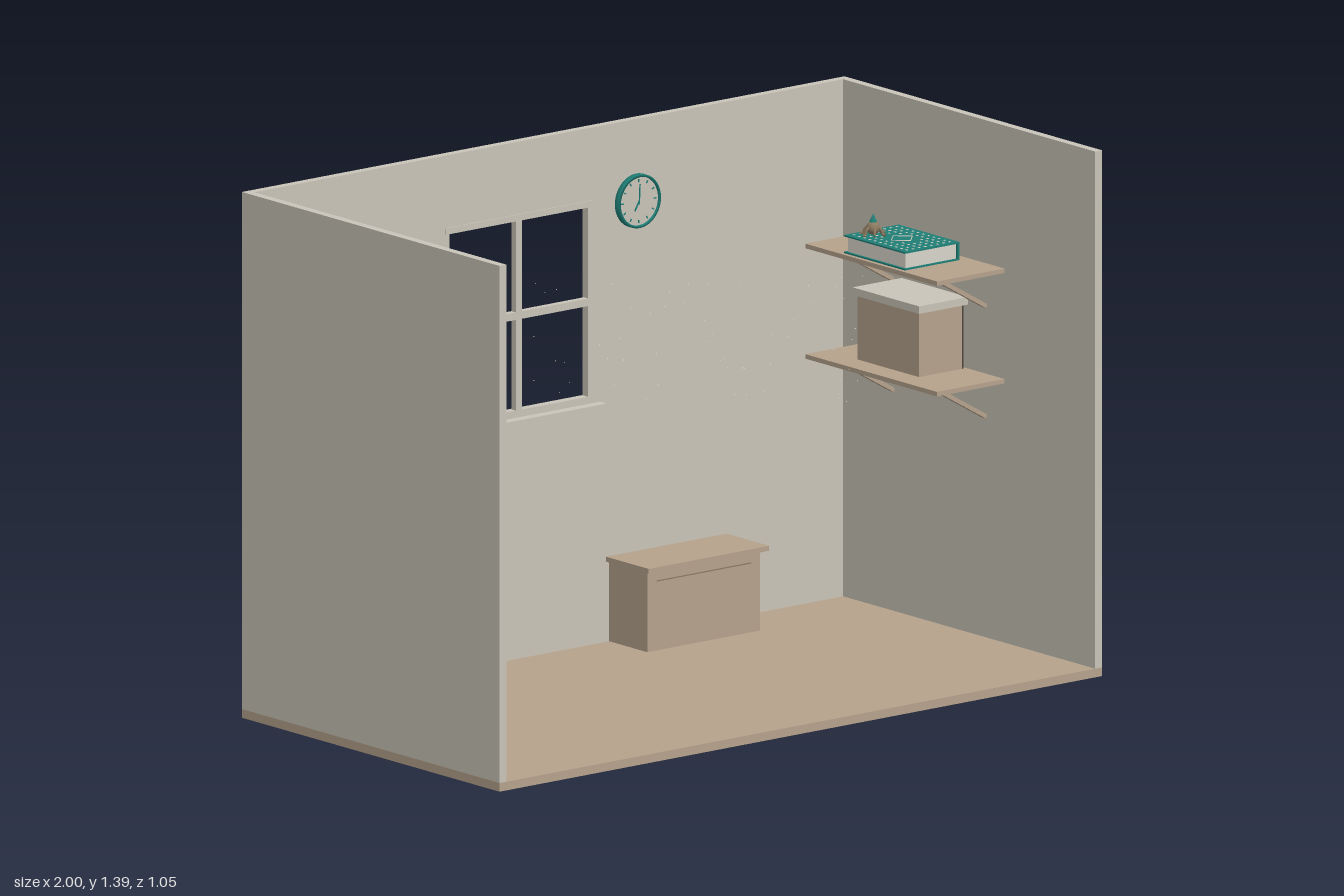
import * as THREE from 'three';

const mat = (name, color) => {
  const m = new THREE.MeshStandardMaterial({ color });
  m.name = name;
  return m;
};

export function createModel() {
  const room = new THREE.Group();
  room.name = 'room';
  const plaster = mat('plaster', 0xc9c4b8);
  const wood = mat('wood', 0xb5a28b);
  const teal = mat('teal', 0x1f7f76);
  const paper = mat('paper', 0xd8d5ca);
  const brass = mat('brass', 0x8c7a60);
  const dark = mat('dark', 0x4a453e);

  const add = (name, geometry, material, parent = room) => {
    const mesh = new THREE.Mesh(geometry, material);
    mesh.name = name;
    parent.add(mesh);
    return mesh;
  };
  // Box given by its minimum and maximum corners
  const box = (name, material, x0, x1, y0, y1, z0, z1, parent = room) => {
    const m = add(name, new THREE.BoxGeometry(x1 - x0, y1 - y0, z1 - z0), material, parent);
    m.position.set((x0 + x1) / 2, (y0 + y1) / 2, (z0 + z1) / 2);
    return m;
  };
  const group = (name) => {
    const g = new THREE.Group();
    g.name = name;
    room.add(g);
    return g;
  };

  // Floor and side walls
  const B = -0.523, F = 0.523, T = 0.023, H = 1.39;
  box('floor', wood, -1, 1, 0, T, B, F);
  box('rightWall', plaster, -1, -1 + T, T, H, B, F);
  box('leftWall', plaster, 1 - T, 1, T, H, B, F);

  // Back wall with a door notch and a window hole
  const wall = new THREE.Shape();
  [[-1 + T, T], [-0.83, T], [-0.83, 1.055], [-0.44, 1.055], [-0.44, T], [1 - T, T], [1 - T, H], [-1 + T, H]]
    .forEach(([x, y], i) => (i ? wall.lineTo(x, y) : wall.moveTo(x, y)));
  const hole = new THREE.Path();
  [[-0.33, 0.68], [-0.33, 1.18], [0.13, 1.18], [0.13, 0.68]]
    .forEach(([x, y], i) => (i ? hole.lineTo(x, y) : hole.moveTo(x, y)));
  wall.holes.push(hole);
  add('backWall', new THREE.ExtrudeGeometry(wall, { depth: T, bevelEnabled: false }), plaster).position.z = B;

  // Door with casing and knob
  const door = group('door');
  box('doorLeaf', wood, -0.83, -0.44, T, 1.055, -0.517, -0.493, door);
  box('casingRight', wood, -0.86, -0.83, T, 1.08, -0.5, -0.485, door);
  box('casingLeft', wood, -0.44, -0.41, T, 1.08, -0.5, -0.485, door);
  box('casingTop', wood, -0.83, -0.44, 1.055, 1.08, -0.5, -0.485, door);
  const knob = add('knob', new THREE.SphereGeometry(0.015, 16, 12), brass, door);
  knob.position.set(-0.48, 0.51, -0.485);
  knob.scale.z = 0.7;

  // Window bars, head and sills
  const win = group('window');
  box('mullion', plaster, -0.11, -0.09, 0.68, 1.18, -0.518, -0.498, win);
  box('transom', plaster, -0.33, 0.13, 0.92, 0.94, -0.517, -0.499, win);
  box('windowHead', plaster, -0.345, 0.145, 1.181, 1.198, -0.527, -0.497, win);
  box('outerSill', plaster, -0.345, 0.145, 0.66, 0.679, -0.527, -0.502, win);
  box('innerSill', plaster, -0.37, 0.17, 0.645, 0.661, -0.502, -0.473, win);

  // Low chest under the clock
  const chest = group('chest');
  box('chestBody', wood, 0.2, 0.575, T, 0.235, -0.5, -0.345, chest);
  box('chestTop', wood, 0.19, 0.59, 0.235, 0.248, -0.5, -0.327, chest);
  box('drawerSeam', brass, 0.23, 0.545, 0.205, 0.208, -0.345, -0.344, chest);

  // Wall clock
  const clock = group('clock');
  clock.position.set(0.29, 1.175, -0.5);
  const backing = add('clockFace', new THREE.CylinderGeometry(0.066, 0.066, 0.01, 40), plaster, clock);
  backing.rotation.x = Math.PI / 2;
  backing.position.z = 0.005;
  const rimProfile = [[0.064, 0], [0.071, 0], [0.071, 0.014], [0.064, 0.016], [0.064, 0]]
    .map(([x, y]) => new THREE.Vector2(x, y));
  add('clockRim', new THREE.LatheGeometry(rimProfile, 40), teal, clock).rotation.x = Math.PI / 2;
  const mark = (name, angle, from, to, width, z) => {
    const m = add(name, new THREE.BoxGeometry(width, to - from, 0.002), teal, clock);
    const r = (from + to) / 2;
    m.position.set(Math.sin(angle) * r, Math.cos(angle) * r, z);
    m.rotation.z = -angle;
  };
  for (let i = 0; i < 12; i++) mark('hourMark', (i * Math.PI) / 6, 0.05, 0.058, 0.003, 0.011);
  mark('minuteHand', 0.05, -0.008, 0.045, 0.003, 0.013);
  mark('hourHand', (7 * Math.PI) / 6, 0, 0.028, 0.004, 0.012);

  // Two shelves on slanting struts
  for (const y of [1.0, 0.708]) {
    const shelf = group('shelf');
    box('shelfBoard', wood, 0.753, 0.977, y, y + 0.012, -0.38, 0.155, shelf);
    for (const z of [-0.3, 0.075]) {
      const strut = add('shelfStrut', new THREE.BoxGeometry(0.2, 0.011, 0.018), wood, shelf);
      strut.position.set(0.89, y - 0.05, z);
      strut.rotation.z = -0.53;
    }
  }

  // Storage box with lid on the lower shelf
  const crate = group('storageBox');
  box('storageBody', wood, 0.82, 0.962, 0.72, 0.888, -0.25, 0.0, crate);
  box('storageLid', plaster, 0.812, 0.975, 0.89, 0.91, -0.26, 0.01, crate);
  box('storageBack', dark, 0.962, 0.967, 0.72, 0.888, -0.25, 0.0, crate);

  // Book on the upper shelf
  const book = group('book');
  box('bookPages', paper, 0.772, 0.94, 1.016, 1.056, -0.23, 0.004, book);
  box('bookLowerCover', teal, 0.765, 0.94, 1.012, 1.016, -0.237, 0.01, book);
  box('bookUpperCover', teal, 0.765, 0.94, 1.056, 1.06, -0.237, 0.01, book);
  box('bookSpine', teal, 0.94, 0.946, 1.012, 1.06, -0.237, 0.01, book);
  // Cream diamond and border dots on the cover
  const diamond = add('coverDiamond', new THREE.TorusGeometry(0.035, 0.002, 4, 4), paper, book);
  diamond.rotation.x = Math.PI / 2;
  diamond.position.set(0.855, 1.06, -0.113);
  for (let i = 0; i < 8; i++) for (let j = 0; j < 11; j++) {
    if (Math.hypot(i - 3.5, j - 5) < 2.4) continue;
    const x = 0.784 + i * 0.0203, z = -0.22 + j * 0.0214;
    box('coverDot', paper, x - 0.003, x + 0.003, 1.06, 1.061, z - 0.003, z + 0.003, book);
  }

  // Small curled ornament on the book
  const ornament = group('ornament');
  ornament.position.set(0.815, 1.06, -0.18);
  const body = add('ornamentBody', new THREE.SphereGeometry(0.018, 16, 12), brass, ornament);
  body.position.y = 0.022;
  for (let i = 0; i < 6; i++) {
    const a = (i * Math.PI) / 3, c = Math.cos(a), s = Math.sin(a);
    const path = new THREE.CatmullRomCurve3([[0.008, 0.03], [0.022, 0.018], [0.028, 0.005], [0.036, 0.008]]
      .map(([r, y]) => new THREE.Vector3(r * c, y, r * s)));
    add('ornamentArm', new THREE.TubeGeometry(path, 10, 0.004, 6), brass, ornament);
  }
  const tip = add('ornamentTip', new THREE.ConeGeometry(0.01, 0.022, 8), teal, ornament);
  tip.position.y = 0.049;

  // Dust motes drifting in from the window
  let seed = 7;
  const rand = () => (seed = (seed * 16807) % 2147483647) / 2147483647;
  const dust = group('dustMotes');
  const moteShape = new THREE.TetrahedronGeometry(0.002);
  for (let i = 0; i < 70; i++) {
    const t = rand();
    const mote = add('mote', moteShape, paper, dust);
    mote.position.set(-0.1 + t * 0.9, 1.12 - t * 0.15 - rand() * 0.38, -0.45 + t * 0.27 + rand() * 0.04);
  }
  return room;
}
